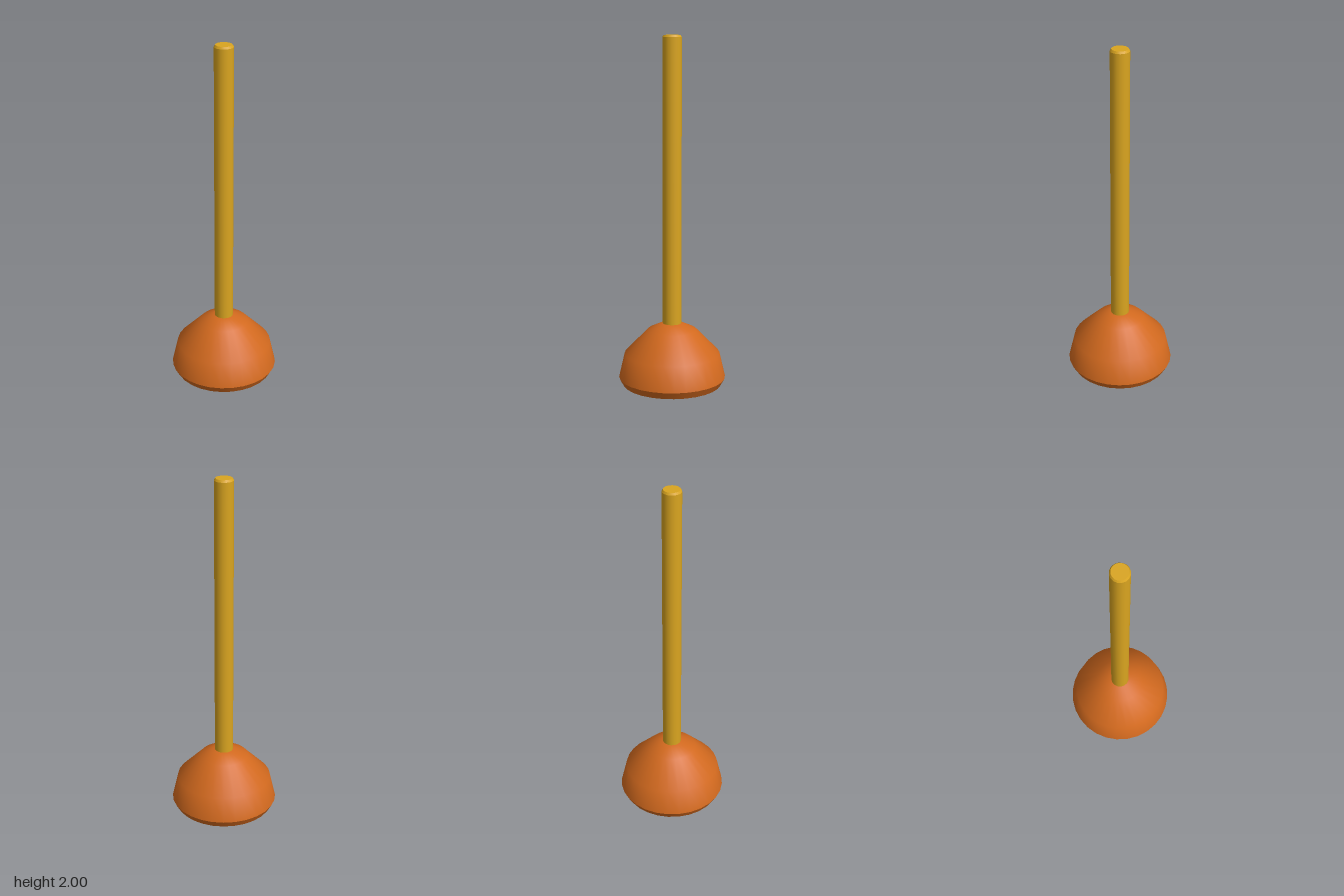
import * as THREE from 'three';

const rubber = new THREE.MeshStandardMaterial({ color: 0xd2691e });
rubber.name = 'orange rubber';
const wood = new THREE.MeshStandardMaterial({ color: 0xdaa520 });
wood.name = 'golden wood';

// One smooth turned surface per profile; separate profiles keep the edge between them sharp.
function turned(name, material, sides, profiles) {
  const part = new THREE.Group();
  part.name = name;
  for (const [label, points] of Object.entries(profiles)) {
    const curve = points.map(([r, y]) => new THREE.Vector2(r, y));
    const mesh = new THREE.Mesh(new THREE.LatheGeometry(curve, sides), material);
    mesh.name = label;
    part.add(mesh);
  }
  return part;
}

export function createModel() {
  const model = new THREE.Group();
  model.name = 'plunger';

  // Rubber cup: flat underside, undercut rim, rounded dome
  model.add(turned('cup', rubber, 28, {
    cupUnderside: [[0, 0], [0.284, 0]],
    cupRim: [[0.284, 0], [0.308, 0.042]],
    cupDome: [[0.308, 0.042], [0.275, 0.183], [0.14, 0.322], [0.06, 0.36], [0, 0.362]],
  }));

  // Long stick with a small chamfer at the top
  model.add(turned('handle', wood, 16, {
    handleShaft: [[0.054, 0.33], [0.054, 1.988]],
    handleChamfer: [[0.054, 1.988], [0.047, 2]],
    handleTop: [[0.047, 2], [0, 2]],
  }));

  return model;
}
